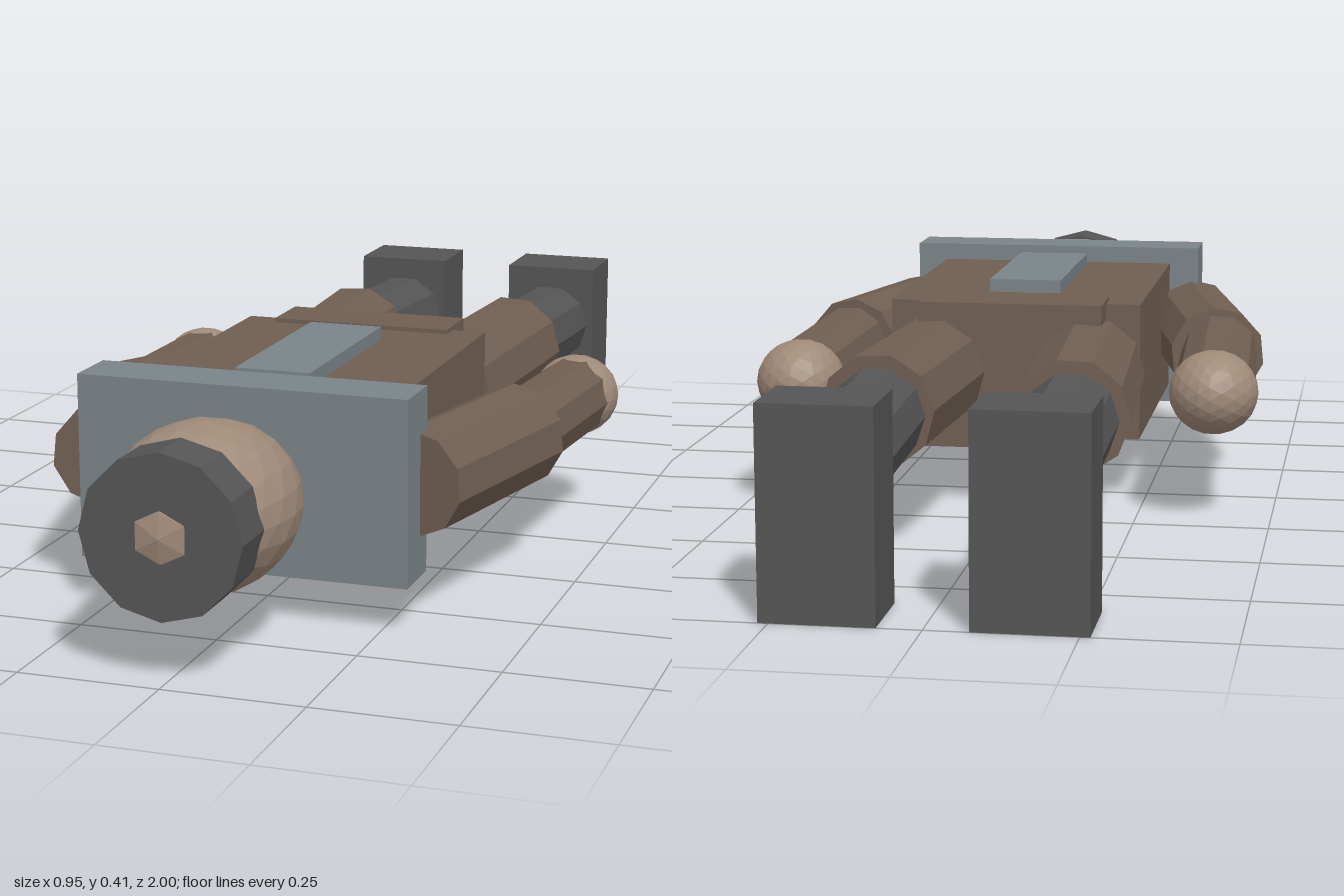
import * as THREE from 'three';

const mat = (color) => new THREE.MeshStandardMaterial({ color, flatShading: true });

export function createModel() {
  const model = new THREE.Group();
  model.name = 'lyingFigure';
  const cloth = mat(0x705f52), skin = mat(0xa08a78), steel = mat(0x7a8488), dark = mat(0x555555);
  const midY = 0.248;

  const add = (name, geometry, material, x, y, z) => {
    const mesh = new THREE.Mesh(geometry, material);
    mesh.name = name;
    mesh.position.set(x, y, z);
    model.add(mesh);
    return mesh;
  };
  // Box given by its lower and upper corners
  const box = (name, material, a, b) => add(name,
    new THREE.BoxGeometry(b[0] - a[0], b[1] - a[1], b[2] - a[2]), material,
    (a[0] + b[0]) / 2, (a[1] + b[1]) / 2, (a[2] + b[2]) / 2);
  // Faceted ellipsoid
  const ball = (name, material, center, radii) => add(name,
    new THREE.IcosahedronGeometry(1, 3).scale(...radii), material, ...center);
  // Prism running between two points, with a corner toward the side
  const limb = (name, material, a, b, radius, sides = 10) => {
    const start = new THREE.Vector3(...a), end = new THREE.Vector3(...b);
    const dir = end.clone().sub(start), mid = start.clone().add(end).multiplyScalar(0.5);
    const geometry = new THREE.CylinderGeometry(radius, radius, dir.length(), sides, 1, false, Math.PI / 2);
    const mesh = add(name, geometry, material, mid.x, mid.y, mid.z);
    mesh.quaternion.setFromUnitVectors(new THREE.Vector3(0, 1, 0), dir.normalize());
    return mesh;
  };

  // Head and cap
  ball('head', skin, [0, midY, 0.795], [0.16, 0.145, 0.2]);
  limb('cap', dark, [0, midY, 0.89], [0, midY, 0.985], 0.141, 12);

  // Trunk
  box('shoulderPlate', steel, [-0.3, 0.083, 0.52], [0.3, 0.413, 0.63]);
  box('torso', cloth, [-0.24, 0.12, -0.06], [0.24, 0.38, 0.53]);
  box('chestAndBackPanel', steel, [-0.07, 0.095, 0.065], [0.07, 0.405, 0.468]);
  box('pelvis', cloth, [-0.175, 0.11, -0.137], [0.175, 0.388, -0.02]);

  // Arms and legs, mirrored
  for (const [side, s] of [['left', 1], ['right', -1]]) {
    limb(side + 'UpperArm', cloth, [s * 0.286, midY, 0.556], [s * 0.37, midY, 0.175], 0.094);
    limb(side + 'Forearm', cloth, [s * 0.374, 0.251, 0.178], [s * 0.39, 0.24, -0.18], 0.076);
    ball(side + 'Hand', skin, [s * 0.391, 0.24, -0.185], [0.083, 0.078, 0.09]);
    limb(side + 'Thigh', cloth, [s * 0.147, 0.252, -0.075], [s * 0.172, 0.252, -0.523], 0.104);
    limb(side + 'Shin', dark, [s * 0.17, 0.248, -0.5], [s * 0.17, 0.23, -0.87], 0.085);
    box(side + 'Foot', dark, [s * 0.171 - 0.096, 0, -1], [s * 0.171 + 0.096, 0.357, -0.852]);
  }
  return model;
}
